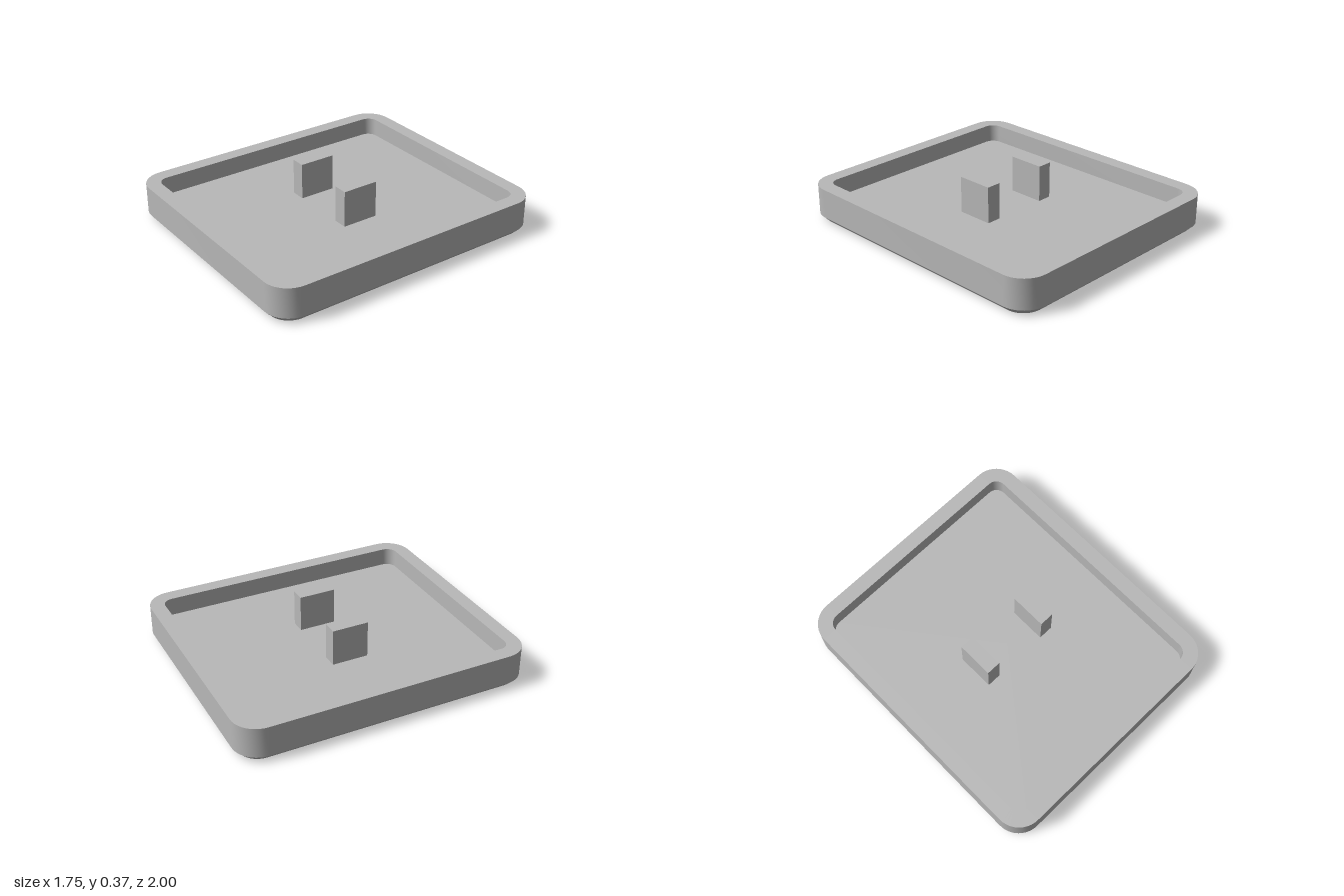
import * as THREE from 'three';
import { toCreasedNormals } from 'three/addons/utils/BufferGeometryUtils.js';

const HALF_X = 0.875, HALF_Z = 1, TOP = 0.245, FLOOR = 0.12, TAB_TOP = 0.37;
const CORNER_STEPS = 10;

// Closed loop of a rounded rectangle, inset from the outer outline, at height y
function roundedLoop(inset, radius, y) {
  const cx = HALF_X - inset - radius, cz = HALF_Z - inset - radius;
  const signs = [[1, 1], [-1, 1], [-1, -1], [1, -1]];
  const points = [];
  signs.forEach(([sx, sz], corner) => {
    for (let i = 0; i <= CORNER_STEPS; i++) {
      const a = (corner + i / CORNER_STEPS) * Math.PI / 2;
      points.push([sx * cx + radius * Math.cos(a), y, sz * cz + radius * Math.sin(a)]);
    }
  });
  return points;
}

// Joins the loops in order and closes both ends with a fan
function loftLoops(loops) {
  const pos = [];
  const tri = (a, b, c) => pos.push(...a, ...b, ...c);
  const n = loops[0].length;
  const first = loops[0], last = loops[loops.length - 1];
  const start = [0, first[0][1], 0], end = [0, last[0][1], 0];
  for (let i = 0; i < n; i++) {
    const j = (i + 1) % n;
    tri(start, first[i], first[j]);
    for (let k = 0; k < loops.length - 1; k++) {
      const a = loops[k], b = loops[k + 1];
      tri(a[i], b[i], b[j]);
      tri(a[i], b[j], a[j]);
    }
    tri(last[i], end, last[j]);
  }
  const geometry = new THREE.BufferGeometry();
  geometry.setAttribute('position', new THREE.Float32BufferAttribute(pos, 3));
  return toCreasedNormals(geometry, Math.PI / 6);
}

export function createModel() {
  const group = new THREE.Group();
  group.name = 'coverPlate';
  const grey = new THREE.MeshStandardMaterial({ color: 0xb8b8b8 });
  grey.name = 'plain grey';

  // Shallow tray: chamfered underside, outer wall, flat rim, recessed floor
  const tray = new THREE.Mesh(loftLoops([
    roundedLoop(0.04, 0.13, 0),
    roundedLoop(0, 0.17, 0.04),
    roundedLoop(0, 0.17, TOP),
    roundedLoop(0.1, 0.07, TOP),
    roundedLoop(0.1, 0.07, FLOOR),
  ]), grey);
  tray.name = 'tray';
  group.add(tray);

  // Pair of upright tabs standing on the floor
  for (const side of [-1, 1]) {
    const tab = new THREE.Mesh(new THREE.BoxGeometry(0.1, TAB_TOP - FLOOR, 0.25), grey);
    tab.position.set(side * 0.24, (TAB_TOP + FLOOR) / 2, 0);
    tab.name = side > 0 ? 'leftTab' : 'rightTab';
    group.add(tab);
  }
  return group;
}
